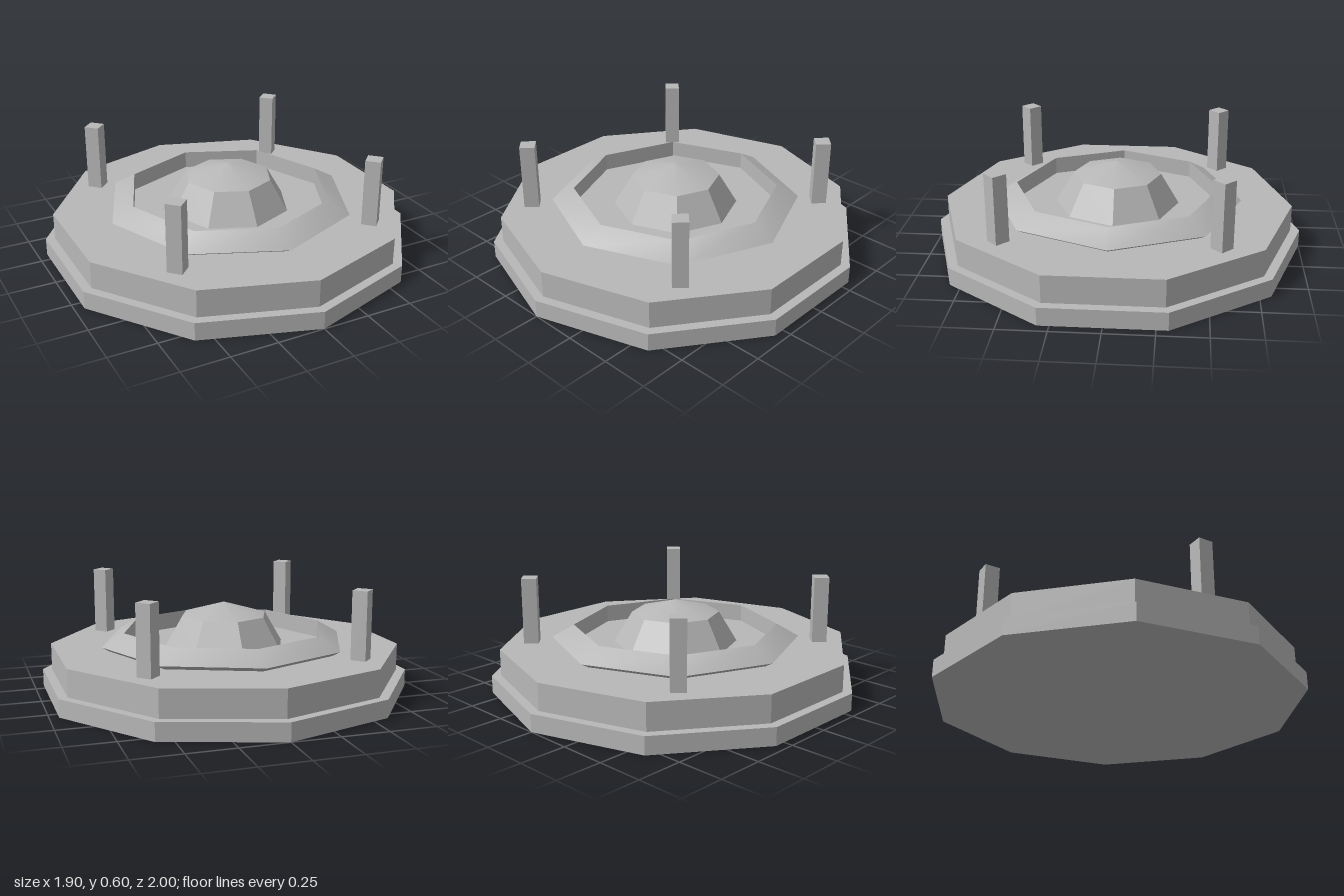
import * as THREE from 'three';
import { toCreasedNormals } from 'three/addons/utils/BufferGeometryUtils.js';

export function createModel() {
  const model = new THREE.Group();
  model.name = 'platform';
  const stone = new THREE.MeshStandardMaterial({ color: 0xb8b8b8 });
  stone.name = 'grey stone';

  // Adds a part, keeping edges sharper than 30 degrees crisp
  function add(name, geometry, x = 0, y = 0, z = 0) {
    const mesh = new THREE.Mesh(toCreasedNormals(geometry, Math.PI / 6), stone);
    mesh.name = name;
    mesh.position.set(x, y, z);
    model.add(mesh);
    return mesh;
  }

  // Two stacked ten-sided steps
  const floor = 0.24;
  add('lowerStep', new THREE.CylinderGeometry(1, 1, 0.095, 10), 0, 0.0475);
  add('upperStep', new THREE.CylinderGeometry(0.95, 0.95, 0.145, 10), 0, 0.1675);

  // Eight-sided rim with a triangular section, sunk a little into the floor
  add('rim', new THREE.TorusGeometry(0.595, 0.08, 3, 8).rotateX(-Math.PI / 2), 0, 0.265);

  // Flattened faceted dome in the middle
  const dome = new THREE.SphereGeometry(0.335, 8, 2, 0, Math.PI * 2, 0, Math.PI / 2);
  add('dome', dome.scale(1, 0.7, 1), 0, floor);

  // Four square posts turned to face the centre
  const postHeight = 0.36;
  for (const x of [-0.555, 0.555]) {
    for (const z of [-0.555, 0.555]) {
      const post = new THREE.BoxGeometry(0.08, postHeight, 0.08).rotateY(Math.PI / 4);
      add(`${z > 0 ? 'front' : 'back'}${x > 0 ? 'Left' : 'Right'}Post`, post, x, floor + postHeight / 2, z);
    }
  }

  return model;
}
